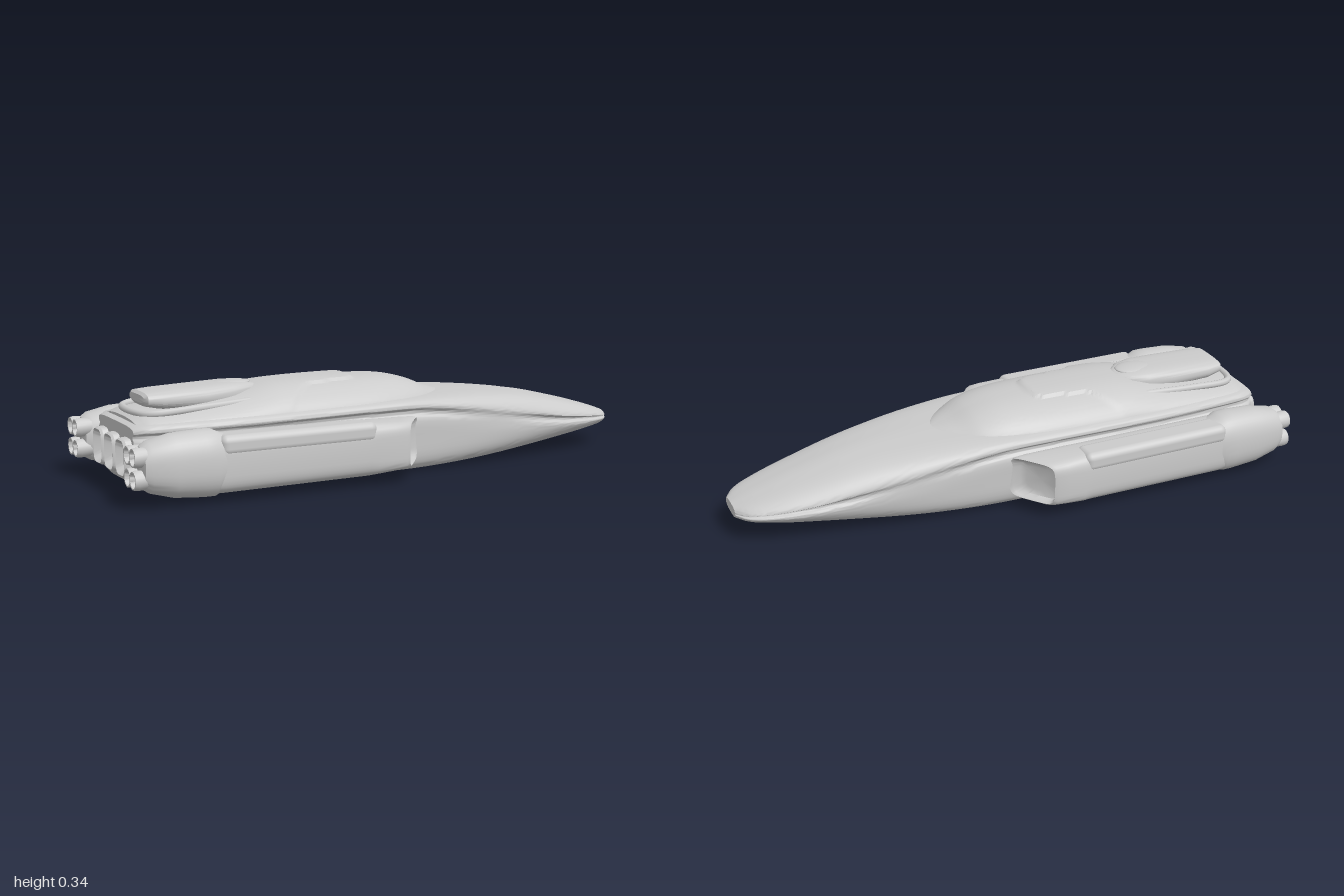
import * as THREE from 'three';
import { toCreasedNormals } from 'three/addons/utils/BufferGeometryUtils.js';
import { RoundedBoxGeometry } from 'three/addons/geometries/RoundedBoxGeometry.js';

const material = new THREE.MeshStandardMaterial({ color: 0xcccccc });
const { lerp, smoothstep, clamp } = THREE.MathUtils;

function addMesh(parent, name, geometry, x = 0, y = 0, z = 0) {
  const mesh = new THREE.Mesh(geometry, material);
  mesh.name = name;
  mesh.position.set(x, y, z);
  parent.add(mesh);
}

// Smooth lookup in rows of [x, a, b, ...] sorted by x
function lookup(rows, x) {
  let i = 0;
  while (i < rows.length - 2 && x > rows[i + 1][0]) i++;
  const r0 = rows[i], r1 = rows[i + 1], h = r1[0] - r0[0];
  const t = clamp((x - r0[0]) / h, 0, 1), t2 = t * t, t3 = t2 * t;
  const slope = (k, c) => {
    const p = rows[Math.max(k - 1, 0)], q = rows[Math.min(k + 1, rows.length - 1)];
    return (q[c] - p[c]) / (q[0] - p[0]);
  };
  return r0.slice(1).map((_, k) => {
    const c = k + 1;
    return r0[c] * (2 * t3 - 3 * t2 + 1) + r1[c] * (3 * t2 - 2 * t3)
      + h * (slope(i, c) * (t3 - 2 * t2 + t) + slope(i + 1, c) * (t3 - t2));
  });
}

// Skin closed rings of [x, y, z], capped at both ends
function loft(rings, crease = 0.6) {
  const n = rings[0].length, pos = rings.flat(2), index = [];
  for (let r = 0; r < rings.length - 1; r++) {
    for (let j = 0; j < n; j++) {
      const a = r * n + j, b = r * n + (j + 1) % n;
      index.push(a, b, a + n, b, b + n, a + n);
    }
  }
  [0, rings.length - 1].forEach((r, end) => {
    const centre = pos.length / 3;
    for (let k = 0; k < 3; k++) pos.push(rings[r].reduce((s, p) => s + p[k], 0) / n);
    for (let j = 0; j < n; j++) {
      const a = r * n + j, b = r * n + (j + 1) % n;
      if (end) index.push(a, b, centre); else index.push(b, a, centre);
    }
  });
  const g = new THREE.BufferGeometry();
  g.setAttribute('position', new THREE.Float32BufferAttribute(pos, 3));
  g.setIndex(index);
  return toCreasedNormals(g, crease);
}

const range = (a, b, n) => Array.from({ length: n + 1 }, (_, i) => lerp(a, b, i / n));

// Rounded rectangular ring; power 2 is an ellipse, higher is boxier
function boxRing(x, y0, y1, zc, hw, power, shift = () => 0, n = 40) {
  return range(0, Math.PI * 2, n).slice(0, n).map((a) => {
    const c = Math.cos(a), s = -Math.sin(a);
    const z = zc + hw * Math.sign(c) * Math.abs(c) ** (2 / power);
    const y = (y0 + y1) / 2 + (y1 - y0) / 2 * Math.sign(s) * Math.abs(s) ** (2 / power);
    return [x + shift(z), y, z];
  });
}

// Hull: x, half width, bottom, top
const HULL = [
  [-0.94, 0.175, 0.06, 0.235], [-0.91, 0.2, 0.03, 0.245], [-0.82, 0.215, 0.012, 0.25],
  [-0.5, 0.235, 0.006, 0.255], [0, 0.235, 0.004, 0.262], [0.2, 0.231, 0.006, 0.261],
  [0.4, 0.22, 0.014, 0.253], [0.6, 0.197, 0.03, 0.232], [0.8, 0.165, 0.054, 0.186],
  [0.92, 0.13, 0.071, 0.152], [0.97, 0.1, 0.079, 0.136], [1, 0.058, 0.085, 0.125],
];
// Half sections from keel to deck: [width, height], with the side groove
const MID = [[0, 0], [0.7, 0], [0.88, 0.04], [0.96, 0.15], [0.99, 0.45], [0.99, 0.75], [0.95, 0.79],
  [0.95, 0.84], [1, 0.88], [0.98, 0.94], [0.85, 0.98], [0, 1]];
const NOSE = [[0, 0], [0.6, 0.03], [0.82, 0.12], [0.94, 0.25], [1, 0.38], [0.99, 0.43], [0.91, 0.47],
  [0.91, 0.53], [1, 0.58], [0.92, 0.74], [0.7, 0.9], [0, 1]];

function hullRing(x) {
  const [w, y0, y1] = lookup(HULL, x);
  const f = smoothstep(x, 0, 0.85);
  const curve = new THREE.CatmullRomCurve3(MID.map((p, i) => {
    let half = lerp(p[0], NOSE[i][0], f);
    // The groove fades out between the flank and the nose
    if (i === 6 || i === 7) half = lerp(half, 0.995, 3.4 * f * (1 - f));
    return new THREE.Vector3(0, lerp(p[1], NOSE[i][1], f), half);
  }));
  const half = curve.getPoints(44).map((p) => [x, y0 + p.y * (y1 - y0), p.z * w]);
  return [...half.slice().reverse(), ...half.slice(1, -1).map(([a, b, c]) => [a, b, -c])];
}

// Cabin: x, half width, crown height
const CABIN = [
  [-0.92, 0.15, 0.252], [-0.88, 0.185, 0.268], [-0.75, 0.203, 0.28], [-0.6, 0.212, 0.3],
  [-0.4, 0.217, 0.325], [-0.1, 0.212, 0.331], [0.04, 0.195, 0.326], [0.13, 0.168, 0.308],
  [0.2, 0.125, 0.28], [0.25, 0.08, 0.264], [0.28, 0.03, 0.256],
];
function cabinRing(x) {
  const [w, top] = lookup(CABIN, x), base = 0.235;
  const arch = range(-1, 1, 56).map((u) => {
    const z = w * Math.sin(u * Math.PI / 2);
    const q = Math.min(Math.abs(z / w), 1), az = Math.abs(z);
    const y = base + (top - base) * (1 - q ** 2.6) ** 0.62;
    // Raised roof panel with a tongue towards the bow
    const edge = az < 0.075 ? -0.08 - 2 * az * az
      : az < 0.11 ? lerp(-0.09, -0.29, smoothstep(az, 0.075, 0.11))
        : lerp(-0.29, -0.38, (az - 0.11) / 0.1);
    const raise = 0.009 * smoothstep(edge - x, 0, 0.02) * smoothstep(x, -0.6, -0.4) * (1 - q ** 6);
    return [x, y + raise, z];
  });
  return [...arch, [x, 0.22, w], [x, 0.22, -w]];
}

function buildNacelle(side) {
  const group = new THREE.Group();
  group.name = side > 0 ? 'leftNacelle' : 'rightNacelle';
  const zc = side * 0.3;
  const slant = (z) => (0.3 - Math.abs(z)) * 0.75;

  // Boxy duct with a slanted, shallow hollow intake
  const duct = [
    [-0.75, 0.034, 0.218, 0.07, 3.6], [-0.7, 0.03, 0.22, 0.073, 3.6], [-0.18, 0.034, 0.218, 0.073, 3.8],
    [-0.15, 0.038, 0.214, 0.077, 4.5], [-0.03, 0.045, 0.211, 0.078, 5], [0.01, 0.048, 0.208, 0.076, 5],
    [0.02, 0.054, 0.203, 0.071, 5], [0.012, 0.06, 0.197, 0.065, 5], [-0.008, 0.067, 0.19, 0.059, 5],
    [-0.014, 0.085, 0.172, 0.045, 4],
  ];
  addMesh(group, 'intakeDuct', loft(duct.map(([x, y0, y1, hw, p]) =>
    boxRing(x, y0, y1, zc, hw, p, x > -0.1 ? slant : undefined)), 0.9));

  addMesh(group, 'sideCover', new RoundedBoxGeometry(0.56, 0.068, 0.1, 4, 0.024), -0.435, 0.188, side * 0.325);

  // Rounded engine pod
  const pod = [
    [-0.968, 0.08, 0.185, 0.043], [-0.964, 0.066, 0.2, 0.055], [-0.94, 0.05, 0.217, 0.066],
    [-0.86, 0.028, 0.234, 0.077], [-0.76, 0.02, 0.239, 0.08], [-0.725, 0.02, 0.238, 0.08],
    [-0.705, 0.03, 0.228, 0.074], [-0.65, 0.045, 0.212, 0.066],
  ];
  addMesh(group, 'enginePod', loft(pod.map(([x, y0, y1, hw]) => boxRing(x, y0, y1, zc, hw, 2.5))));

  // Four hollow nozzles
  const profile = [[0.03, -0.01], [0.033, 0.03], [0.03, 0.045], [0.025, 0.045], [0.018, 0.015], [0, 0.015]]
    .map(([r, y]) => new THREE.Vector2(r, y));
  const bell = toCreasedNormals(new THREE.LatheGeometry(profile, 16), 0.6);
  bell.rotateZ(Math.PI / 2);
  for (const dy of [-0.036, 0.036]) {
    for (const dz of [-0.026, 0.026]) addMesh(group, 'nozzle', bell, -0.952, 0.134 + dy, side * 0.295 + dz);
  }
  return group;
}

export function createModel() {
  const model = new THREE.Group();
  model.name = 'spaceship';

  addMesh(model, 'hull', loft([...range(-0.94, 0.9, 70), ...range(0.91, 1, 12)].map(hullRing), 0.7));
  addMesh(model, 'cabin', loft(range(-0.92, 0.28, 110).map(cabinRing), 0.5));

  // Tail housing on the roof, overhanging the stern deck
  const tail = [
    [-0.865, 0.292, 0.318, 0.07], [-0.855, 0.28, 0.327, 0.088], [-0.8, 0.268, 0.331, 0.098],
    [-0.65, 0.262, 0.337, 0.1], [-0.55, 0.262, 0.341, 0.095], [-0.49, 0.265, 0.338, 0.075], [-0.44, 0.27, 0.325, 0.035],
  ];
  addMesh(model, 'tailHousing', loft(tail.map(([x, y0, y1, hw]) => boxRing(x, y0, y1, 0, hw, 3.2))));
  const dome = new THREE.SphereGeometry(1, 24, 12);
  dome.scale(0.07, 0.01, 0.05);
  addMesh(model, 'roofDome', dome, -0.53, 0.334, 0);

  // Raised rim around the stern deck
  const rim = new THREE.CatmullRomCurve3([[-0.5, 0.288, 0.135], [-0.7, 0.277, 0.14], [-0.85, 0.268, 0.13],
    [-0.885, 0.265, 0.09], [-0.885, 0.265, -0.09], [-0.85, 0.268, -0.13], [-0.7, 0.277, -0.14], [-0.5, 0.288, -0.135]]
    .map((p) => new THREE.Vector3(...p)));
  addMesh(model, 'sternRim', new THREE.TubeGeometry(rim, 60, 0.013, 8));

  // Stern exhaust blocks with recessed outlets
  for (const z of [-0.115, 0, 0.115]) {
    const rings = [[-0.945, 0.09, 0.175, 0.03], [-0.968, 0.075, 0.19, 0.042], [-0.96, 0.07, 0.195, 0.046], [-0.9, 0.065, 0.2, 0.048]];
    addMesh(model, 'sternExhaust', loft(rings.map(([x, y0, y1, hw]) => boxRing(x, y0, y1, z, hw, 4)), 0.5));
  }

  model.add(buildNacelle(1), buildNacelle(-1));
  return model;
}
